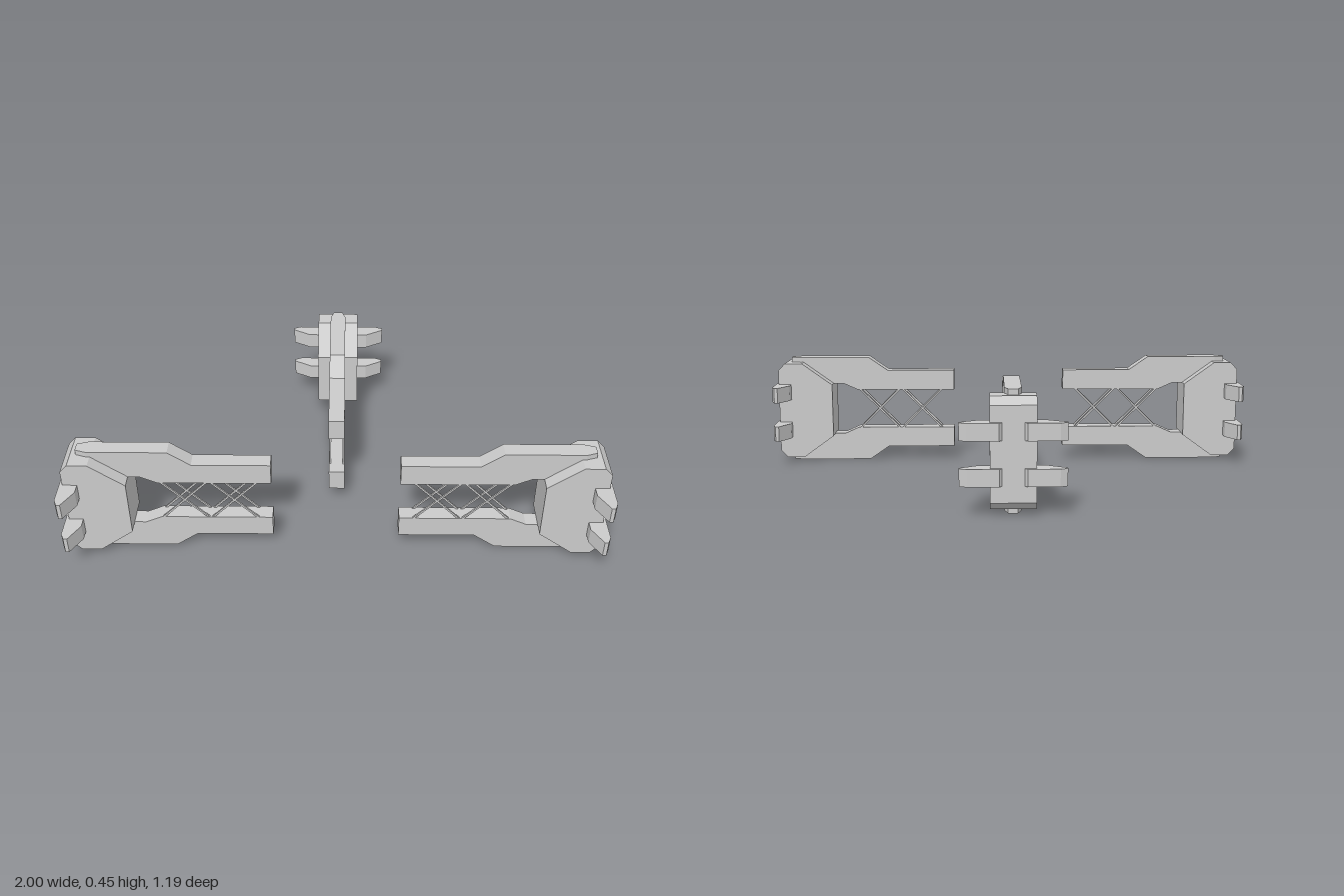
import * as THREE from 'three';

const grey = new THREE.MeshStandardMaterial({ color: 0xcccccc, flatShading: true });
const MID = 0.225; // height of the arm's mirror plane

const toShape = (pts) => new THREE.Shape(pts.map(([a, b]) => new THREE.Vector2(a, b)));

function addMesh(group, name, geometry) {
  const mesh = new THREE.Mesh(geometry, grey);
  mesh.name = name;
  group.add(mesh);
  return mesh;
}

// Side profile (x, y) extruded evenly across z
function sideProfile(pts, halfWidth) {
  const g = new THREE.ExtrudeGeometry(toShape(pts), { depth: halfWidth * 2, bevelEnabled: false });
  return g.translate(0, 0, -halfWidth);
}

// Plan profile (x, z) extruded from y0 up to y1
function planProfile(pts, y0, y1) {
  const g = new THREE.ExtrudeGeometry(toShape(pts.map(([x, z]) => [x, -z])), { depth: y1 - y0, bevelEnabled: false });
  return g.rotateX(-Math.PI / 2).translate(0, y0, 0);
}

// One arm reaching out along +x
function createArm(name) {
  const arm = new THREE.Group();
  arm.name = name;

  // Upper and lower beams, with a narrowed outer tip
  const beam = [[0.237, 0.083], [0.237, 0.168], [0.525, 0.168], [0.607, 0.225], [0.9, 0.225],
    [0.9, 0.11], [0.715, 0.11], [0.655, 0.083]];
  const tip = [[0.9, -0.031], [0.94, -0.018], [0.94, 0.018], [0.9, 0.031]];
  for (const s of [1, -1]) {
    const label = s > 0 ? 'upper' : 'lower';
    addMesh(arm, label + 'Beam', sideProfile(beam.map(([x, y]) => [x, MID + s * y]), 0.031));
    const ys = [MID + s * 0.11, MID + s * 0.225].sort((a, b) => a - b);
    addMesh(arm, label + 'BeamTip', planProfile(tip, ...ys));
  }

  // Chamfered end block
  const half = [[0.76, 0.112], [0.887, 0.204], [0.96, 0.204], [0.988, 0.175]];
  const block = [...half.map(([x, y]) => [x, MID + y]),
    ...half.slice().reverse().map(([x, y]) => [x, MID - y])];
  addMesh(arm, 'endBlock', sideProfile(block, 0.083));

  // Four claws wrapping the block's outer corners
  const claw = [[0.985, 0.037], [1, 0.05], [1, 0.165], [0.988, 0.192], [0.974, 0.192],
    [0.935, 0.122], [0.935, 0.037]];
  for (const y of [0.143, 0.307]) {
    for (const s of [1, -1]) {
      addMesh(arm, 'claw', planProfile(claw.map(([x, z]) => [x, s * z]), y - 0.032, y + 0.032));
    }
  }

  // Crossed struts on both faces, two crosses per face
  for (const z of [-0.026, 0.026]) {
    for (const x of [0.376, 0.561]) {
      for (const s of [1, -1]) {
        const strut = addMesh(arm, 'strut', new THREE.BoxGeometry(0.25, 0.007, 0.007));
        strut.position.set(x, MID, z);
        strut.rotation.z = s * Math.PI / 4;
      }
    }
  }
  return arm;
}

export function createModel() {
  const model = new THREE.Group();
  model.name = 'threeArmClamp';
  // Three arms spread around a shared centre: left, back and right
  ['leftArm', 'backArm', 'rightArm'].forEach((name, i) => {
    const arm = createArm(name);
    arm.rotation.y = i * Math.PI / 2;
    arm.position.z = 0.403;
    model.add(arm);
  });
  return model;
}
